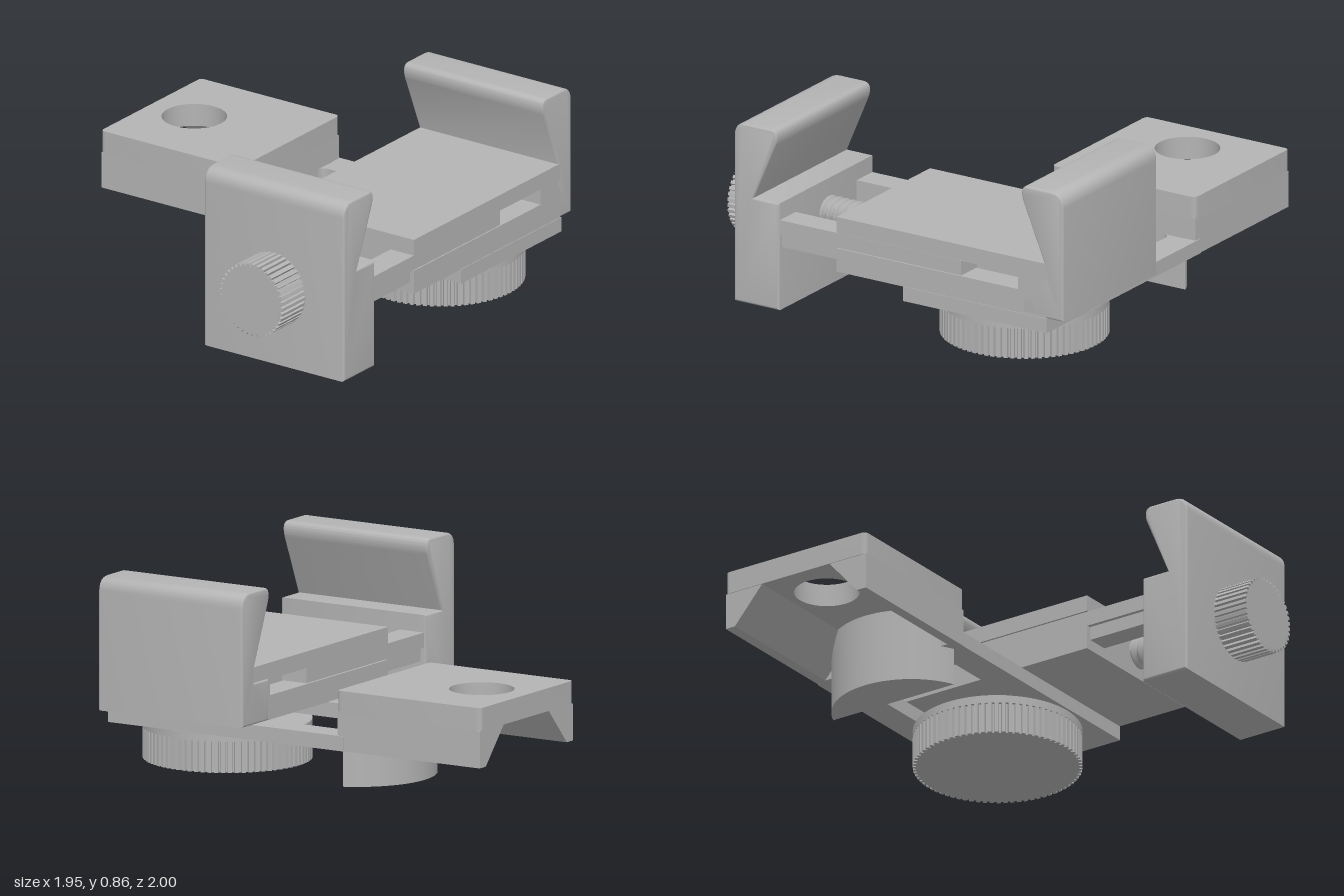
import * as THREE from 'three';
import { toCreasedNormals } from 'three/addons/utils/BufferGeometryUtils.js';

const grey = new THREE.MeshStandardMaterial({ color: 0xb4b4b4 });
grey.name = 'matte grey';

function add(parent, name, geometry) {
  const mesh = new THREE.Mesh(geometry, grey);
  mesh.name = name;
  parent.add(mesh);
  return mesh;
}

// Polygon from [x, y, cornerRadius] points
function outline(points, Type = THREE.Shape) {
  const s = new Type();
  const n = points.length;
  points.forEach(([x, y, r = 0], i) => {
    const p = new THREE.Vector2(x, y);
    const toward = (q) => new THREE.Vector2(q[0], q[1]).sub(p).setLength(r).add(p);
    const a = toward(points[(i + n - 1) % n]);
    const b = toward(points[(i + 1) % n]);
    if (i === 0) s.moveTo(a.x, a.y); else s.lineTo(a.x, a.y);
    if (r) s.quadraticCurveTo(x, y, b.x, b.y);
  });
  s.closePath();
  return s;
}

const rect = (x0, y0, x1, y1, r = 0, Type) =>
  outline([[x0, y0, r], [x1, y0, r], [x1, y1, r], [x0, y1, r]], Type);

// Extrude an x/y outline between two z values
function alongZ(shape, z0, z1, bevel = 0) {
  const g = new THREE.ExtrudeGeometry(shape, {
    depth: z1 - z0 - 2 * bevel, curveSegments: 10,
    bevelEnabled: bevel > 0, bevelThickness: bevel, bevelSize: bevel,
    bevelOffset: -bevel, bevelSegments: 4,
  });
  g.translate(0, 0, z0 + bevel);
  return toCreasedNormals(g, 0.6);
}

// Extrude a plan outline (x, -z) between two heights
function alongY(shape, y0, y1) {
  const g = new THREE.ExtrudeGeometry(shape, { depth: y1 - y0, bevelEnabled: false, curveSegments: 32 });
  g.rotateX(-Math.PI / 2).translate(0, y0, 0);
  return toCreasedNormals(g, 0.6);
}

function box(x0, x1, y0, y1, z0, z1) {
  return new THREE.BoxGeometry(x1 - x0, y1 - y0, z1 - z0)
    .translate((x0 + x1) / 2, (y0 + y1) / 2, (z0 + z1) / 2);
}

// Toothed disc outline for the knobs
function gear(radius, depth, teeth) {
  const pts = [];
  for (let i = 0; i < teeth; i++) {
    [[0, 0], [0.55, 0], [0.65, depth], [0.9, depth]].forEach(([t, d]) => {
      const a = ((i + t) / teeth) * Math.PI * 2;
      pts.push(new THREE.Vector2(Math.cos(a) * (radius - d), Math.sin(a) * (radius - d)));
    });
  }
  return new THREE.Shape(pts);
}

// Cylinder whose radius follows a helical thread
function thread(radius, depth, pitch, length) {
  const g = new THREE.CylinderGeometry(radius, radius, length, 32, Math.round(length / pitch) * 8, true);
  const p = g.attributes.position;
  const uv = g.attributes.uv;
  for (let i = 0; i < p.count; i++) {
    const t = p.getY(i) / pitch + uv.getX(i) + 100;
    const k = 1 - (depth / radius) * (0.5 - 0.5 * Math.cos(t * Math.PI * 2));
    p.setX(i, p.getX(i) * k);
    p.setZ(i, p.getZ(i) * k);
  }
  g.computeVertexNormals();
  return g;
}

export function createModel() {
  const model = new THREE.Group();
  model.name = 'adjustable clamp mount';

  // Sliding jaw with its two guide rails
  const slider = new THREE.Group();
  slider.name = 'slidingJaw';
  model.add(slider);
  add(slider, 'slidingJawBlock', alongZ(outline([
    [-0.8, 0], [-0.557, 0], [-0.557, 0.512], [-0.695, 0.512],
    [-0.57, 0.805, 0.02], [-0.57, 0.86, 0.035], [-0.8, 0.86, 0.07],
  ]), 0.222, 0.998, 0.012));
  [1, -1].forEach((side) => {
    const z = (d) => 0.61 + side * d;
    const span = (a, b) => [Math.min(z(a), z(b)), Math.max(z(a), z(b))];
    add(slider, 'railTongue', box(-0.6, 0.42, 0.362, 0.432, ...span(0.25, 0.379)));
    add(slider, 'railLowerRib', box(-0.6, -0.2, 0.298, 0.364, ...span(0.25, 0.36)));
  });

  // Main body: solid core with slotted side layers
  const body = new THREE.Group();
  body.name = 'body';
  model.add(body);
  add(body, 'bodyCore', box(-0.25, 0.88, 0.248, 0.51, 0.36, 0.86));
  const slotted = outline([
    [-0.25, 0.248], [0.88, 0.248], [0.88, 0.51], [-0.25, 0.51],
    [-0.25, 0.434], [0.73, 0.434], [0.73, 0.36], [-0.25, 0.36],
  ]);
  add(body, 'slottedSideBack', alongZ(slotted, 0.225, 0.36));
  add(body, 'slottedSideFront', alongZ(slotted, 0.86, 0.992));

  // Fixed jaw
  add(body, 'fixedJaw', alongZ(outline([
    [0.75, 0.248], [0.97, 0.248], [0.97, 0.86, 0.07], [0.745, 0.86, 0.035],
    [0.745, 0.805, 0.02], [0.868, 0.508], [0.868, 0.44], [0.75, 0.44],
  ]), 0.218, 0.992, 0.012));

  // Clamp screw and its knurled knob
  add(model, 'clampScrew', thread(0.075, 0.025, 0.0365, 0.365)
    .rotateZ(Math.PI / 2).translate(-0.4, 0.365, 0.61));
  const knob = new THREE.ExtrudeGeometry(gear(0.175, 0.013, 40), { depth: 0.18, bevelEnabled: false });
  add(model, 'screwKnob', knob.rotateY(Math.PI / 2).translate(-0.975, 0.365, 0.61));

  // Slotted arm plate
  const arm = new THREE.Group();
  arm.name = 'arm';
  model.add(arm);
  const plate = rect(0.11, -0.995, 0.885, 0.27);
  plate.holes.push(rect(0.252, -0.85, 0.745, 0.23, 0.04, THREE.Path));
  add(arm, 'armPlate', alongY(plate, 0.18, 0.249));

  // End block: bored slab over a flared channel
  const slab = rect(0.108, 0.23, 0.88, 1, 0.025);
  slab.holes.push(new THREE.Path().absarc(0.492, 0.757, 0.148, 0, Math.PI * 2, true));
  add(arm, 'endBlockSlab', alongY(slab, 0.35, 0.456));
  [[0.108, 1], [0.88, -1]].forEach(([x, s]) => {
    const pts = [[x, 0.18], [x + s * 0.05, 0.18], [x + s * 0.2, 0.35], [x, 0.35]];
    add(arm, 'endBlockLeg', alongZ(outline(s > 0 ? pts : pts.reverse()), -0.997, -0.233));
  });
  add(arm, 'endBlockFrontWall', box(0.11, 0.878, 0.18, 0.36, -0.29, -0.232));

  // Half-moon stop under the end block
  const half = Math.asin(0.137 / 0.36);
  const moon = new THREE.Shape().absarc(0.495, 0.093, 0.36, half, Math.PI - half, false);
  moon.closePath();
  add(arm, 'halfMoonStop', alongY(moon, 0.005, 0.35));

  // Locking knob with collar and stud under the body
  const lock = new THREE.Group();
  lock.name = 'lockingKnob';
  lock.position.set(0.505, 0, 0.598);
  model.add(lock);
  const grip = new THREE.ExtrudeGeometry(gear(0.383, 0.015, 76), { depth: 0.145, bevelEnabled: false });
  add(lock, 'knobGrip', grip.rotateX(-Math.PI / 2));
  add(lock, 'knobCollar', new THREE.CylinderGeometry(0.383, 0.383, 0.037, 96).translate(0, 0.1625, 0));
  add(lock, 'knobStud', new THREE.CylinderGeometry(0.2, 0.2, 0.08, 48).translate(0, 0.215, 0));

  return model;
}
